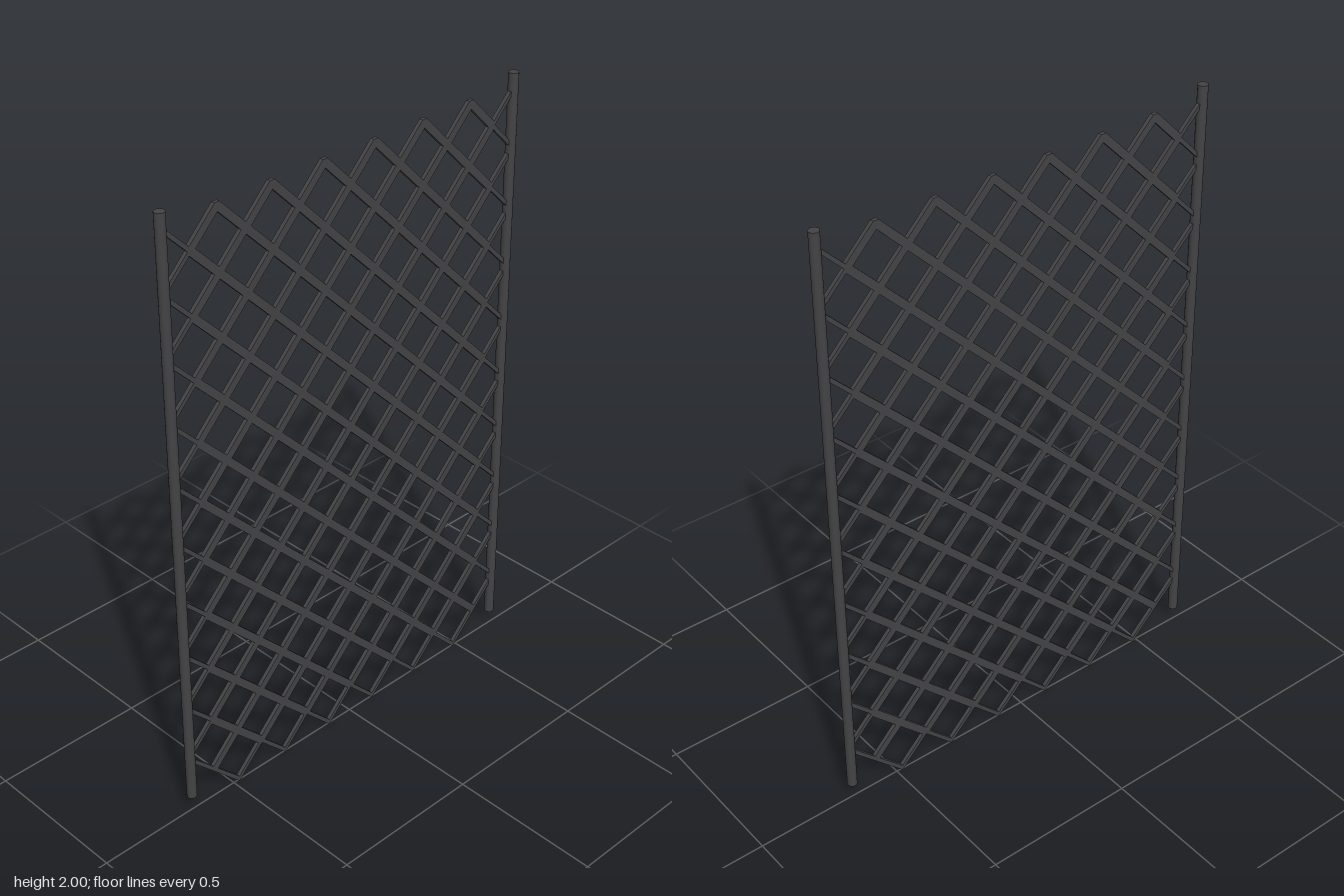
import * as THREE from 'three';
import { mergeGeometries } from 'three/addons/utils/BufferGeometryUtils.js';

const STEP_X = 0.0963, STEP_Y = 0.0974, BASE_Y = 0.009;
const COLUMNS = 7, ROWS = 20; // half-diamond columns each side, half-diamond rows
const THICK = 0.025, THIN = 0.013, DEPTH = 0.013;

const node = (i, j) => new THREE.Vector2(i * STEP_X, BASE_Y + j * STEP_Y);

// Flat wire between two points of the lattice
function bar(a, b, width) {
  const d = b.clone().sub(a);
  return new THREE.BoxGeometry(d.length(), width, DEPTH)
    .rotateZ(d.angle())
    .translate((a.x + b.x) / 2, (a.y + b.y) / 2, 0);
}

export function createModel() {
  const group = new THREE.Group();
  const material = new THREE.MeshStandardMaterial({ color: 0x444446 });
  const add = (name, geometry) => {
    const mesh = new THREE.Mesh(geometry, material);
    mesh.name = name;
    group.add(mesh);
    return mesh;
  };

  // Diamond lattice: doubled wires inside, single wires along the sides and bottom
  const inner = [], edge = [];
  for (let j = 0; j < ROWS; j++) {
    for (let i = -COLUMNS; i <= COLUMNS; i++) {
      if ((i + j) % 2 === 0) continue;
      for (const s of [-1, 1]) {
        const k = i + s;
        if (Math.abs(k) > COLUMNS) continue;
        const outer = Math.abs(i) === COLUMNS || Math.abs(k) === COLUMNS;
        if (outer && j === 0) continue; // nothing below the post ends
        const single = outer || j === 0;
        (single ? edge : inner).push(bar(node(i, j), node(k, j + 1), single ? THIN : THICK));
      }
    }
  }

  // Blunt tips along the top
  const tip = THICK * Math.SQRT1_2;
  for (let i = 2 - COLUMNS; i < COLUMNS; i += 2) {
    const p = node(i, ROWS);
    inner.push(new THREE.BoxGeometry(tip, tip, DEPTH).translate(p.x, p.y, 0));
  }
  // Pointed tips along the bottom
  for (let i = 2 - COLUMNS; i < COLUMNS; i += 2) {
    const p = node(i, 0);
    edge.push(new THREE.BoxGeometry(THIN, THIN, DEPTH).rotateZ(Math.PI / 4).translate(p.x, p.y, 0));
  }
  add('innerMesh', mergeGeometries(inner));
  add('edgeWires', mergeGeometries(edge));

  // Side posts
  const bottom = 0.055, top = 2;
  for (const [name, side] of [['leftPost', 1], ['rightPost', -1]]) {
    add(name, new THREE.CylinderGeometry(0.016, 0.016, top - bottom, 16))
      .position.set(side * 0.667, (top + bottom) / 2, 0);
  }
  return group;
}
